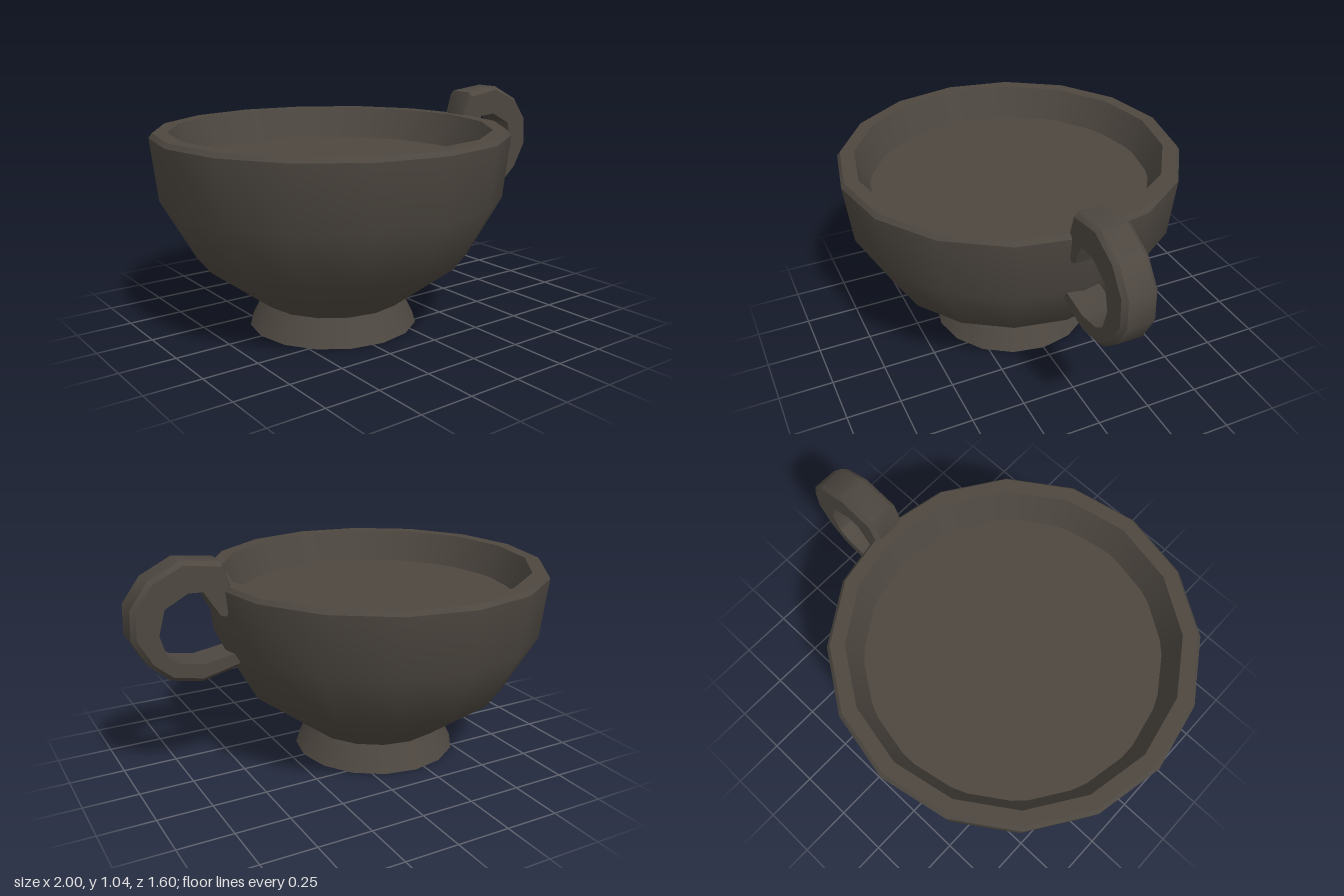
import * as THREE from 'three';
import { toCreasedNormals } from 'three/addons/utils/BufferGeometryUtils.js';

const SIDES = 16;

// Handle as a loop of chamfered sections, each from an outer to an inner point
function handleGeometry() {
  const stations = [
    [0.55, 0.90, 0.58, 0.78], [0.59, 1.02, 0.61, 0.79], [0.77, 1.04, 0.66, 0.90],
    [0.91, 0.97, 0.745, 0.905], [0.99, 0.86, 0.85, 0.85], [0.995, 0.73, 0.88, 0.74],
    [0.93, 0.61, 0.85, 0.64], [0.84, 0.53, 0.80, 0.605], [0.70, 0.50, 0.69, 0.585],
    [0.53, 0.54, 0.53, 0.61],
  ];
  const wide = 0.077, narrow = 0.057, chamfer = 0.02;
  const pos = [], index = [];
  for (const [ox, oy, ix, iy] of stations) {
    const k = chamfer / Math.hypot(ix - ox, iy - oy);
    const cx = ox + (ix - ox) * k, cy = oy + (iy - oy) * k;
    pos.push(ox, oy, -narrow, ox, oy, narrow, cx, cy, wide,
      ix, iy, wide, ix, iy, -wide, cx, cy, -wide);
  }
  const last = (stations.length - 1) * 6;
  for (let s = 0; s < last; s += 6) {
    for (let j = 0; j < 6; j++) {
      const a = s + j, b = s + (j + 1) % 6;
      index.push(a, b, b + 6, a, b + 6, a + 6);
    }
  }
  // End caps
  for (let j = 1; j < 5; j++) {
    index.push(0, j + 1, j, last, last + j, last + j + 1);
  }
  const geo = new THREE.BufferGeometry();
  geo.setAttribute('position', new THREE.Float32BufferAttribute(pos, 3));
  geo.setIndex(index);
  return toCreasedNormals(geo, 0.65);
}

export function createModel() {
  const model = new THREE.Group();
  model.name = 'cup';
  const clay = new THREE.MeshStandardMaterial({ color: 0x4d4740 });
  clay.name = 'dark clay';

  const add = (name, geometry, parent = model) => {
    const mesh = new THREE.Mesh(geometry, clay);
    mesh.name = name;
    parent.add(mesh);
    return mesh;
  };

  const bowl = new THREE.Group();
  bowl.name = 'bowl';
  bowl.position.x = -0.2;
  model.add(bowl);

  // Separate turned bands keep the creases between them sharp
  const bands = {
    footBase: [[0, 0], [0.39, 0]],
    foot: [[0.39, 0], [0.33, 0.12]],
    bowlOutside: [[0.33, 0.12], [0.62, 0.34], [0.77, 0.61], [0.8, 0.89]],
    rimBevel: [[0.8, 0.89], [0.785, 0.91]],
    rim: [[0.785, 0.91], [0.72, 0.91]],
    bowlInside: [[0.72, 0.91], [0.62, 0.65]],
  };
  for (const [name, profile] of Object.entries(bands)) {
    const points = profile.map(([r, y]) => new THREE.Vector2(r, y));
    add(name, new THREE.LatheGeometry(points, SIDES), bowl);
  }

  // Flat inner surface, turned half a side against the wall
  const surface = new THREE.CircleGeometry(0.668, SIDES);
  surface.rotateX(-Math.PI / 2).rotateY(Math.PI / SIDES);
  add('innerSurface', surface, bowl).position.y = 0.76;

  add('handle', handleGeometry());
  return model;
}
